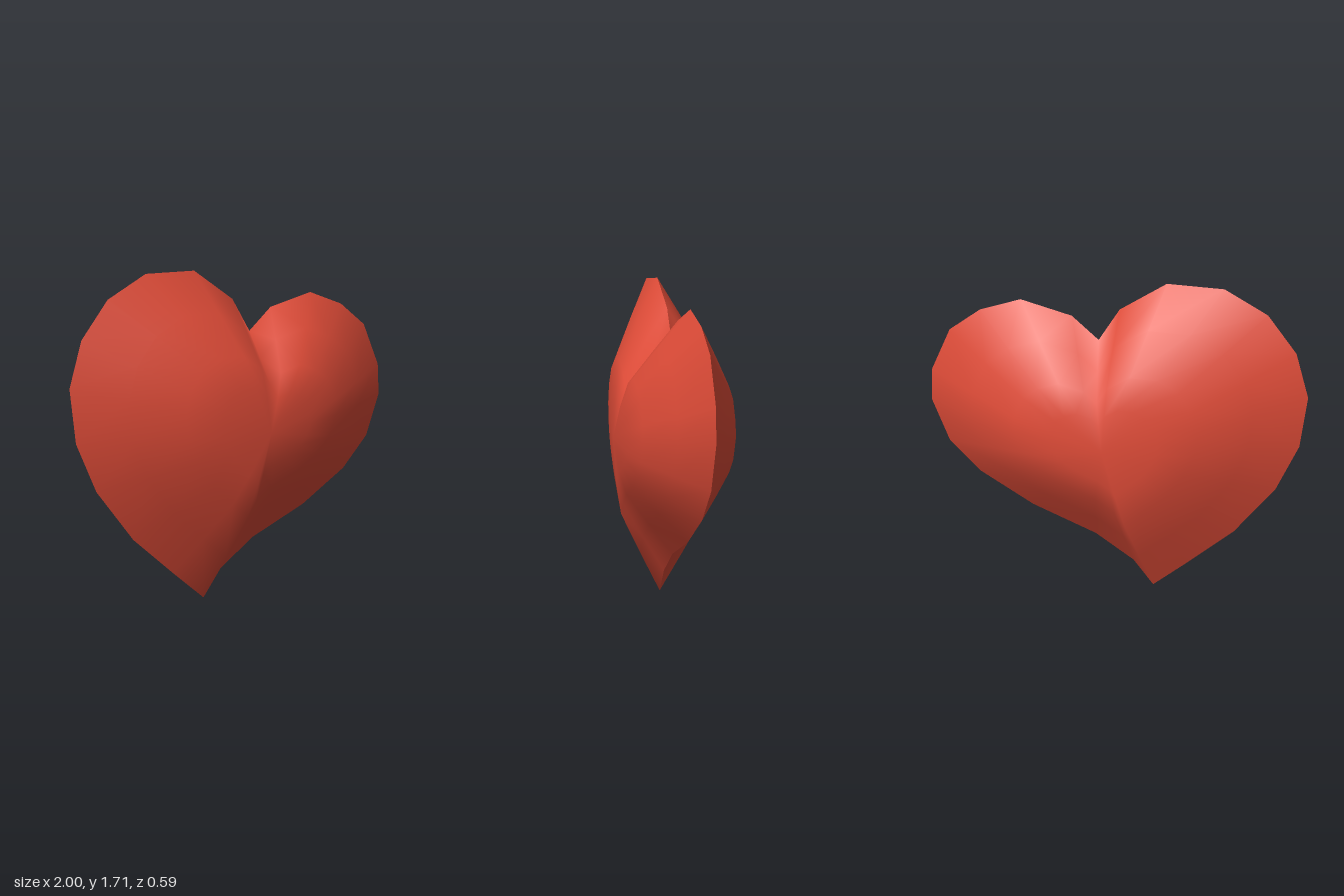
import * as THREE from 'three';

// Heart outline, clockwise from the notch as seen from the front
const OUTLINE = [
  [0.08, 1.39], [0.22, 1.51], [0.49, 1.58], [0.71, 1.51], [0.88, 1.39], [0.99, 1.16],
  [1, 0.99], [0.91, 0.76], [0.74, 0.59], [0.45, 0.42], [0.1, 0.28], [-0.11, 0.14],
  [-0.22, 0], [-0.41, 0.16], [-0.65, 0.37], [-0.86, 0.64], [-0.97, 0.89], [-1, 1.16],
  [-0.93, 1.39], [-0.78, 1.58], [-0.56, 1.7], [-0.27, 1.71], [-0.03, 1.56],
];
const CENTER = [0, 0.89];
const PEAK = 0.295;
// Rings from rim to middle: [scale about the centre, bulge]
const RINGS = [[1, 0], [0.74, 0.12], [0.48, 0.235], [0.28, 0.268]];

// One domed half; side is +1 for the front, -1 for the back
function domeGeometry(side) {
  const n = OUTLINE.length;
  const positions = [];
  const index = [];
  const face = (a, b, c) => (side > 0 ? index.push(a, c, b) : index.push(a, b, c));

  for (const [scale, bulge] of RINGS) {
    for (const [x, y] of OUTLINE) {
      positions.push(
        CENTER[0] + (x - CENTER[0]) * scale,
        CENTER[1] + (y - CENTER[1]) * scale,
        bulge * side,
      );
    }
  }
  positions.push(CENTER[0], CENTER[1], PEAK * side);

  const last = RINGS.length - 1;
  for (let i = 0; i < n; i++) {
    const j = (i + 1) % n;
    for (let r = 0; r < last; r++) {
      const a = r * n + i, b = r * n + j, c = a + n, d = b + n;
      face(a, b, d);
      face(a, d, c);
    }
    face(last * n + i, last * n + j, RINGS.length * n);
  }

  const geometry = new THREE.BufferGeometry();
  geometry.setAttribute('position', new THREE.Float32BufferAttribute(positions, 3));
  geometry.setIndex(index);
  geometry.computeVertexNormals();
  return geometry;
}

export function createModel() {
  const group = new THREE.Group();
  group.name = 'heart';
  const red = new THREE.MeshStandardMaterial({ color: 0xe04c38 });
  red.name = 'heart red';

  // Separate halves keep the rim sharp while each face stays smooth
  for (const [name, side] of [['frontHalf', 1], ['backHalf', -1]]) {
    const mesh = new THREE.Mesh(domeGeometry(side), red);
    mesh.name = name;
    group.add(mesh);
  }
  return group;
}
